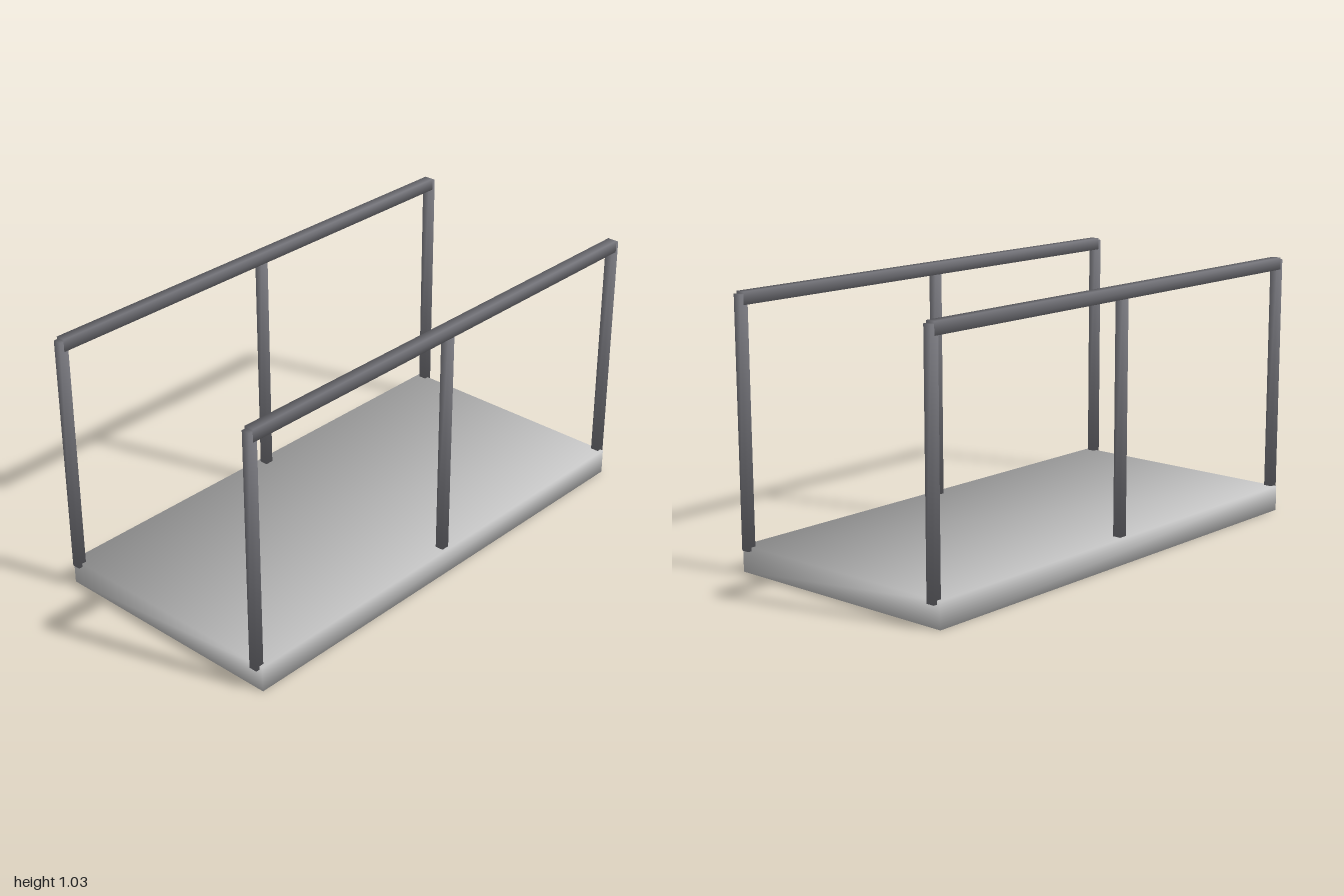
import * as THREE from 'three';

const deckMaterial = new THREE.MeshStandardMaterial({ color: 0xcccccc });
const railMaterial = new THREE.MeshStandardMaterial({ color: 0x77777d });

// Box with softly shaded corners: every normal points out along its corner diagonal
function softBox(name, material, [w, h, d], [x, y, z]) {
  const geometry = new THREE.BoxGeometry(w, h, d);
  const { position, normal } = geometry.attributes;
  const k = 1 / Math.sqrt(3);
  for (let i = 0; i < position.count; i++) {
    normal.setXYZ(i,
      Math.sign(position.getX(i)) * k,
      Math.sign(position.getY(i)) * k,
      Math.sign(position.getZ(i)) * k);
  }
  const mesh = new THREE.Mesh(geometry, material);
  mesh.name = name;
  mesh.position.set(x, y, z);
  return mesh;
}

export function createModel() {
  const model = new THREE.Group();
  model.name = 'footbridge';

  // Walkway slab
  model.add(softBox('deck', deckMaterial, [0.982, 0.1, 1.968], [0, 0.05, 0]));

  // One railing on each long side
  for (const side of [1, -1]) {
    const railing = new THREE.Group();
    railing.name = side > 0 ? 'leftRailing' : 'rightRailing';
    railing.position.x = side * 0.461;

    railing.add(softBox('handrail', railMaterial, [0.038, 0.047, 1.968], [0, 1.005, 0]));
    railing.add(softBox('middlePost', railMaterial, [0.033, 0.91, 0.033], [0, 0.541, 0]));
    for (const end of [1, -1]) {
      railing.add(softBox(end > 0 ? 'frontPost' : 'backPost', railMaterial,
        [0.033, 0.934, 0.034], [0, 0.553, end * 0.983]));
    }
    model.add(railing);
  }
  return model;
}
